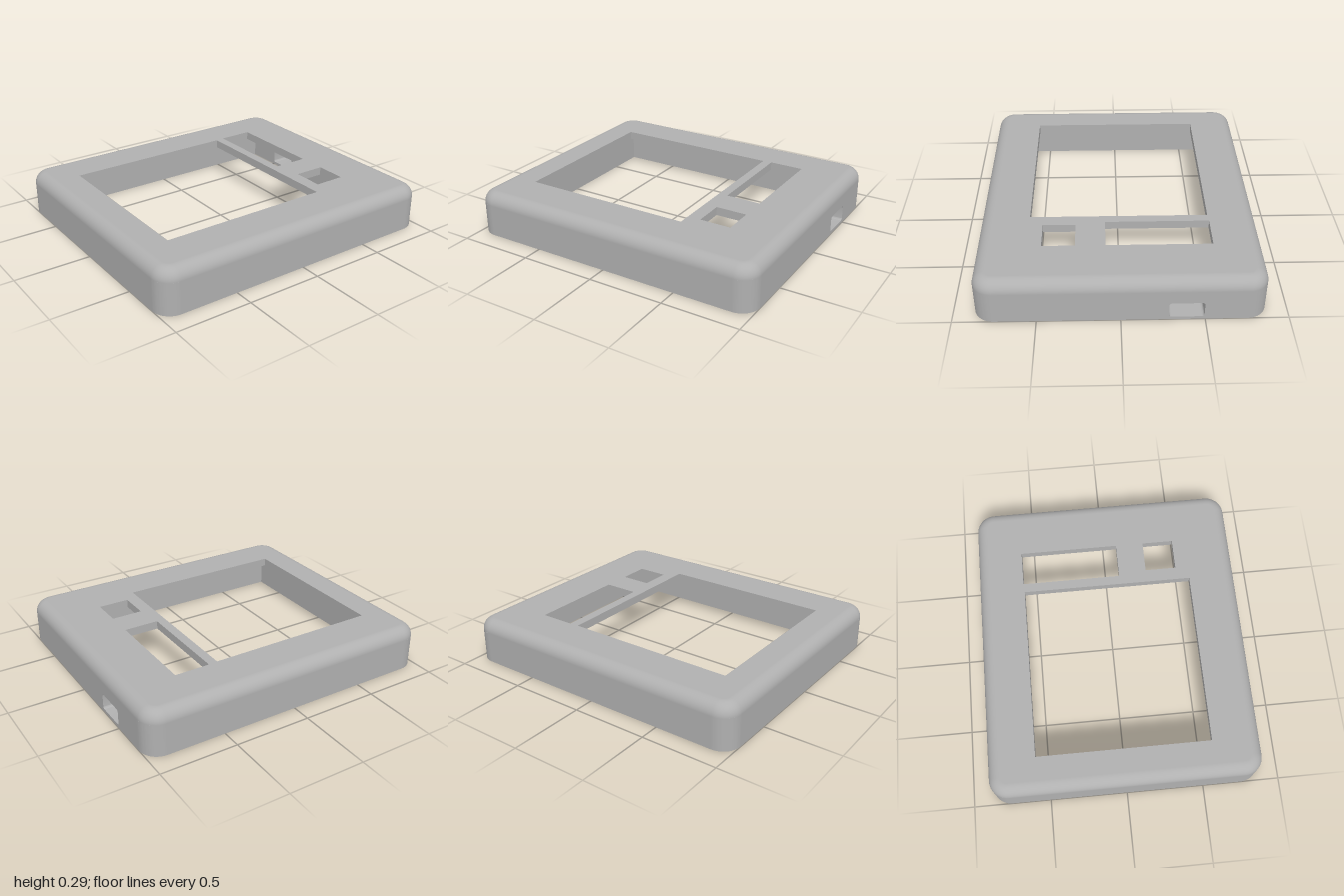
import * as THREE from 'three';
import { toCreasedNormals } from 'three/addons/utils/BufferGeometryUtils.js';

const HX = 0.872, HZ = 1, H = 0.29;      // half width, half length, height
const WALL = 0.13, R = 0.12, F = 0.08;   // wall thickness, corner radius, top fillet
const WALL_H = H - F, PLATE = 0.055;     // straight wall height, top plate thickness

// Rounded rectangle outline, as a Shape or as a hole Path
function roundedRect(Type, x0, y0, x1, y1, r) {
  const p = new Type();
  p.moveTo(x0 + r, y0);
  p.lineTo(x1 - r, y0).absarc(x1 - r, y0 + r, r, -Math.PI / 2, 0);
  p.lineTo(x1, y1 - r).absarc(x1 - r, y1 - r, r, 0, Math.PI / 2);
  p.lineTo(x0 + r, y1).absarc(x0 + r, y1 - r, r, Math.PI / 2, Math.PI);
  p.lineTo(x0, y0 + r).absarc(x0 + r, y0 + r, r, Math.PI, Math.PI * 1.5);
  return p;
}

function rectHole(x0, z0, x1, z1) {
  return new THREE.Path([[x0, -z0], [x1, -z0], [x1, -z1], [x0, -z1]]
    .map(([x, y]) => new THREE.Vector2(x, y)));
}

// Extrude a plan shape upwards from height y
function extrudeUp(shape, depth, y) {
  const g = new THREE.ExtrudeGeometry(shape, { depth, bevelEnabled: false, curveSegments: 12 });
  g.rotateX(-Math.PI / 2).translate(0, y, 0);
  return toCreasedNormals(g, 0.5);
}

// Quarter-round band that joins the walls to the top plate
function filletGeometry() {
  const pos = [], nor = [], idx = [], N = 12, M = 10, ring = 4 * (N + 1);
  const sx = [1, -1, -1, 1], sz = [1, 1, -1, -1];
  for (let j = 0; j <= M; j++) {
    const phi = (j / M) * Math.PI / 2, c = Math.cos(phi), s = Math.sin(phi);
    for (let k = 0; k < 4; k++) for (let i = 0; i <= N; i++) {
      const t = (k + i / N) * Math.PI / 2, dx = Math.cos(t), dz = Math.sin(t);
      const rad = R - F + F * c;
      pos.push(sx[k] * (HX - R) + dx * rad, WALL_H + F * s, sz[k] * (HZ - R) + dz * rad);
      nor.push(dx * c, s, dz * c);
    }
  }
  for (let j = 0; j < M; j++) for (let i = 0; i < ring; i++) {
    const a = j * ring + i, b = j * ring + (i + 1) % ring;
    idx.push(a, a + ring, b, b, a + ring, b + ring);
  }
  const g = new THREE.BufferGeometry();
  g.setAttribute('position', new THREE.Float32BufferAttribute(pos, 3));
  g.setAttribute('normal', new THREE.Float32BufferAttribute(nor, 3));
  g.setIndex(idx);
  return g;
}

export function createModel() {
  const model = new THREE.Group();
  model.name = 'enclosureCover';
  const grey = new THREE.MeshStandardMaterial({ color: 0xb0b0b0 });
  grey.name = 'grey plastic';
  const add = (name, geometry, parent = model) => {
    const mesh = new THREE.Mesh(geometry, grey);
    mesh.name = name;
    parent.add(mesh);
    return mesh;
  };

  // Top plate with the display window and two smaller openings
  const ix = HX - F, iz = HZ - F;
  const top = roundedRect(THREE.Shape, -ix, -iz, ix, iz, R - F);
  top.holes.push(
    rectHole(-0.565, -0.365, 0.56, 0.77),
    rectHole(-0.57, -0.655, 0.085, -0.425),
    rectHole(0.27, -0.655, 0.475, -0.45));
  add('topPlate', extrudeUp(top, PLATE, H - PLATE));
  add('topFillet', filletGeometry());

  // Collar continuing the inner walls up to the plate
  const cx = HX - WALL, cz = HZ - WALL;
  const collar = roundedRect(THREE.Shape, -ix, -iz, ix, iz, R - F);
  collar.holes.push(rectHole(-cx, -cz, cx, cz));
  add('innerCollar', extrudeUp(collar, H - PLATE - WALL_H, WALL_H));

  // Side and front walls
  for (const s of [1, -1]) {
    add(s > 0 ? 'leftWall' : 'rightWall', new THREE.BoxGeometry(WALL, WALL_H, 2 * cz))
      .position.set(s * (HX - WALL / 2), WALL_H / 2, 0);
  }
  add('frontWall', new THREE.BoxGeometry(2 * cx, WALL_H, WALL))
    .position.set(0, WALL_H / 2, HZ - WALL / 2);

  // Back wall with the cable port
  const back = new THREE.Shape();
  back.moveTo(-cx, 0).lineTo(cx, 0).lineTo(cx, WALL_H).lineTo(-cx, WALL_H);
  back.holes.push(roundedRect(THREE.Path, -0.495, 0.02, -0.285, 0.125, 0.015));
  const backGeo = new THREE.ExtrudeGeometry(back, { depth: WALL, bevelEnabled: false, curveSegments: 4 });
  add('backWall', toCreasedNormals(backGeo, 0.5)).position.z = -HZ;

  // Rounded corner posts with blind screw holes underneath
  const h = WALL / 2, holeAt = h - 0.08, holeR = 0.03;
  const post = new THREE.Shape();
  post.moveTo(-h, -h).lineTo(h, -h).lineTo(h, h - R);
  post.absarc(h - R, h - R, R, 0, Math.PI / 2);
  post.lineTo(-h, h);
  post.holes.push(new THREE.Path().absarc(holeAt, holeAt, holeR, 0, Math.PI * 2, true));
  const postGeo = extrudeUp(post, WALL_H, 0);
  const endGeo = new THREE.CircleGeometry(holeR, 24).rotateX(Math.PI / 2);
  [[1, -1], [-1, -1], [-1, 1], [1, 1]].forEach(([sx, sz], k) => {
    const corner = new THREE.Group();
    corner.name = 'cornerPost';
    corner.position.set(sx * (HX - h), 0, sz * (HZ - h));
    corner.rotation.y = k * Math.PI / 2;
    add('post', postGeo, corner);
    add('screwHoleEnd', endGeo, corner).position.set(holeAt, WALL_H - 0.01, -holeAt);
    model.add(corner);
  });

  return model;
}
